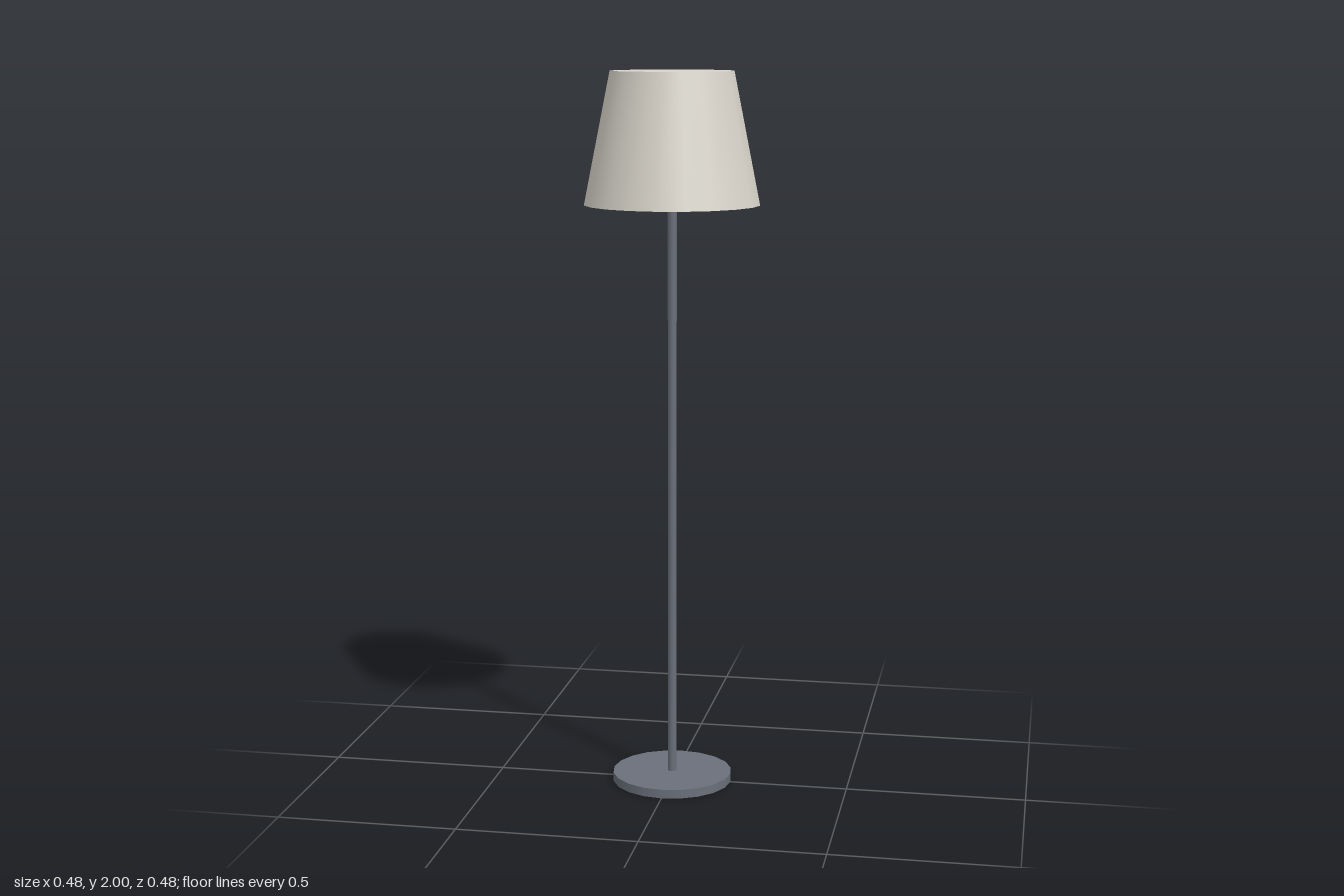
import * as THREE from 'three';

export function createModel() {
  const lamp = new THREE.Group();
  lamp.name = 'floorLamp';

  const metal = new THREE.MeshStandardMaterial({ color: 0x6a6f7a });
  metal.name = 'slate grey metal';
  const fabric = new THREE.MeshStandardMaterial({ color: 0xd8d4ca });
  fabric.name = 'warm off-white fabric';

  // Adds an upright cylinder or cone standing between two heights
  function addRound(name, material, topRadius, bottomRadius, y0, y1, sides) {
    const geometry = new THREE.CylinderGeometry(topRadius, bottomRadius, y1 - y0, sides);
    const mesh = new THREE.Mesh(geometry, material);
    mesh.name = name;
    mesh.position.y = (y0 + y1) / 2;
    lamp.add(mesh);
  }

  // Flat disc foot, slim pole and closed tapered shade
  addRound('base', metal, 0.169, 0.169, 0, 0.025, 20);
  addRound('pole', metal, 0.0125, 0.0125, 0.025, 1.66, 10);
  addRound('shade', fabric, 0.17, 0.242, 1.64, 2, 20);

  return lamp;
}
